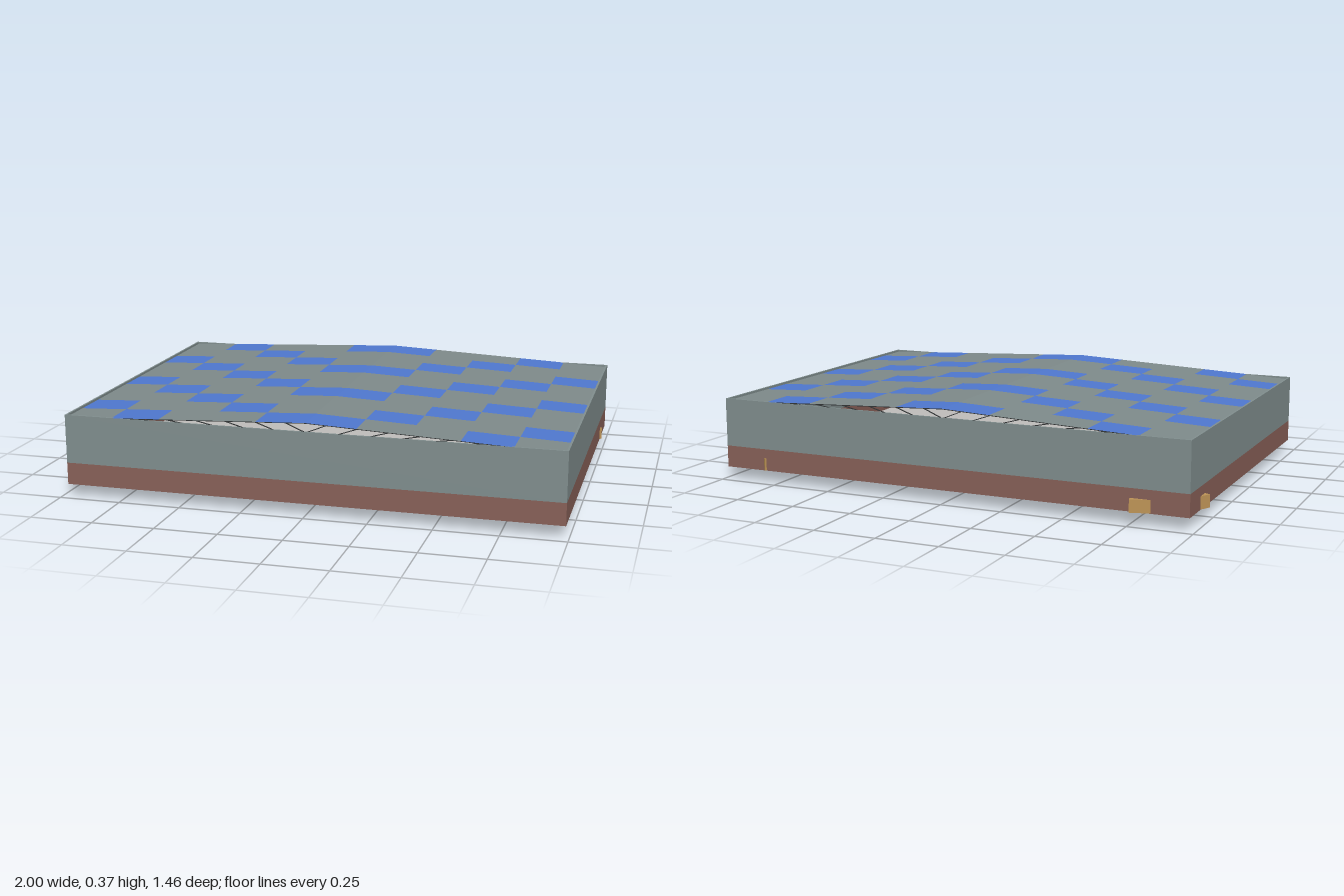
import * as THREE from 'three';
import { mergeGeometries } from 'three/addons/utils/BufferGeometryUtils.js';

const X0 = -0.978, X1 = 0.988, Z = 0.72, MID = (X0 + X1) / 2;
const roofY = x => 0.37 - 0.045 * Math.abs(x - MID);

const mat = (name, color, side = THREE.FrontSide) => {
  const m = new THREE.MeshStandardMaterial({ color, side });
  m.name = name;
  return m;
};

export function createModel() {
  const group = new THREE.Group();
  const grey = mat('wall grey', 0x829090);
  const brown = mat('base brown', 0x8a6259);
  const tileGrey = mat('roof grey', 0x7f8b8b, THREE.DoubleSide);
  const blue = mat('roof blue', 0x4f78d0, THREE.DoubleSide);
  const tan = mat('tan', 0xbf9557, THREE.DoubleSide);
  const pale = mat('floor pale grey', 0xc0bebc);
  const dark = mat('truss dark', 0x333637);

  const add = (name, geometry, material) => {
    const mesh = new THREE.Mesh(geometry, material);
    mesh.name = name;
    group.add(mesh);
    return mesh;
  };
  const box = (x0, x1, y0, y1, z0, z1) => new THREE.BoxGeometry(x1 - x0, y1 - y0, z1 - z0)
    .translate((x0 + x1) / 2, (y0 + y1) / 2, (z0 + z1) / 2);

  // Thin perimeter walls, open at the top
  const wallRing = (y0, y1) => {
    const rect = (S, t) => new S([
      new THREE.Vector2(X0 + t, -Z + t), new THREE.Vector2(X1 - t, -Z + t),
      new THREE.Vector2(X1 - t, Z - t), new THREE.Vector2(X0 + t, Z - t)]);
    const shape = rect(THREE.Shape, 0);
    shape.holes.push(rect(THREE.Path, 0.008));
    return new THREE.ExtrudeGeometry(shape, { depth: y1 - y0, bevelEnabled: false })
      .rotateX(-Math.PI / 2).translate(0, y0, 0);
  };
  add('lowerWall', wallRing(0.052, 0.14), brown);
  add('upperWall', wallRing(0.14, 0.335), grey);
  add('floor', box(X0 + 0.004, X1 - 0.004, 0.052, 0.06, -Z + 0.004, Z - 0.004), pale);

  // Shallow pitched roof of 10 x 10 mirrored tiles
  const w = (X1 - X0) / 10, d = 2 * Z / 10;
  const tiles = { grey: [], blue: [] };
  for (let r = 0; r < 10; r++) for (let c = 0; c < 10; c++) {
    const g = new THREE.PlaneGeometry(w, d).rotateX(-Math.PI / 2)
      .translate(X0 + (c + 0.5) * w, 0, -Z + (r + 0.5) * d);
    const p = g.attributes.position;
    for (let i = 0; i < p.count; i++) p.setY(i, roofY(p.getX(i)));
    g.computeVertexNormals();
    tiles[Math.min(c, 9 - c) % 3 === (r + 1) % 3 ? 'blue' : 'grey'].push(g);
  }
  add('greyRoofTiles', mergeGeometries(tiles.grey), tileGrey);
  add('blueRoofTiles', mergeGeometries(tiles.blue), blue);

  // Roof trusses seen under the open gables
  const rod = (xa, ya, xb, yb, z) => new THREE.BoxGeometry(Math.hypot(xb - xa, yb - ya), 0.003, 0.004)
    .rotateZ(Math.atan2(yb - ya, xb - xa)).translate((xa + xb) / 2, (ya + yb) / 2, z);
  const rods = [];
  for (let k = 0; k < 6; k++) {
    const z = (k / 5 - 0.5) * 2 * (Z - 0.005);
    for (const s of [-1, 1]) {
      rods.push(rod(MID, 0.368, MID + s * 0.78, 0.333, z));
      for (let i = 0; i < 6; i++) {
        const xa = MID + s * i * 0.12, xb = xa + s * 0.08;
        rods.push(rod(xa, 0.331, xb, roofY(xb) - 0.002, z));
      }
    }
  }
  add('roofTrusses', mergeGeometries(rods), dark);

  // Rounded basin bulging below the floor, deeper towards the back
  const basin = new THREE.LatheGeometry([[0, -1], [0.45, -1], [0.78, -0.96], [0.88, -0.86], [0.95, -0.65],
    [0.985, -0.35], [1, 0]].map(([x, y]) => new THREE.Vector2(x, y)), 40).scale(0.22, 1, 0.24);
  const bp = basin.attributes.position;
  for (let i = 0; i < bp.count; i++) bp.setY(i, 0.053 + bp.getY(i) * (0.0415 - 0.055 * bp.getZ(i)));
  basin.computeVertexNormals();
  basin.translate(-0.61, 0, -0.22);
  add('basin', basin, tan);

  // Corners of tilted furniture pushing through the back and side walls
  const wedge = pts => new THREE.ExtrudeGeometry(
    new THREE.Shape(pts.map(([x, z]) => new THREE.Vector2(x, -z))), { depth: 0.05, bevelEnabled: false })
    .rotateX(-Math.PI / 2).translate(0, 0.053, 0);
  add('rightSideWedge', wedge([[-0.97, -0.61], [-1, -0.55], [-0.97, -0.54]]), tan);
  add('backWedge', wedge([[-0.85, -0.715], [-0.755, -0.74], [-0.75, -0.715]]), tan);
  add('leftSideWedge', wedge([[0.98, -0.5], [0.996, -0.492], [0.98, -0.475]]), tan);
  add('backLeftWedge', wedge([[0.8, -0.715], [0.805, -0.727], [0.82, -0.715]]), tan);

  // Furniture feet showing flush with the underside: centre x, z, width, depth
  const plates = (name, material, list) => add(name, mergeGeometries(list.map(([x, z, a, b]) =>
    box(x - a / 2, x + a / 2, 0.0495, 0.054, z - b / 2, z + b / 2))), material);
  plates('tanFeet', tan, [[0.14, 0.055, 0.04, 0.21], [-0.025, 0.107, 0.035, 0.28], [-0.45, 0.216, 0.12, 0.13]]);
  plates('greyFeet', grey, [[0.164, 0.4, 0.11, 0.13], [-0.25, 0.296, 0.1, 0.1], [-0.285, 0.18, 0.1, 0.1]]);

  // Curved tray edge in the back left corner of the underside
  add('trayEdge', new THREE.TorusGeometry(0.13, 0.003, 6, 32).rotateX(Math.PI / 2)
    .translate(0.845, 0.052, -0.575), tan);
  return group;
}
